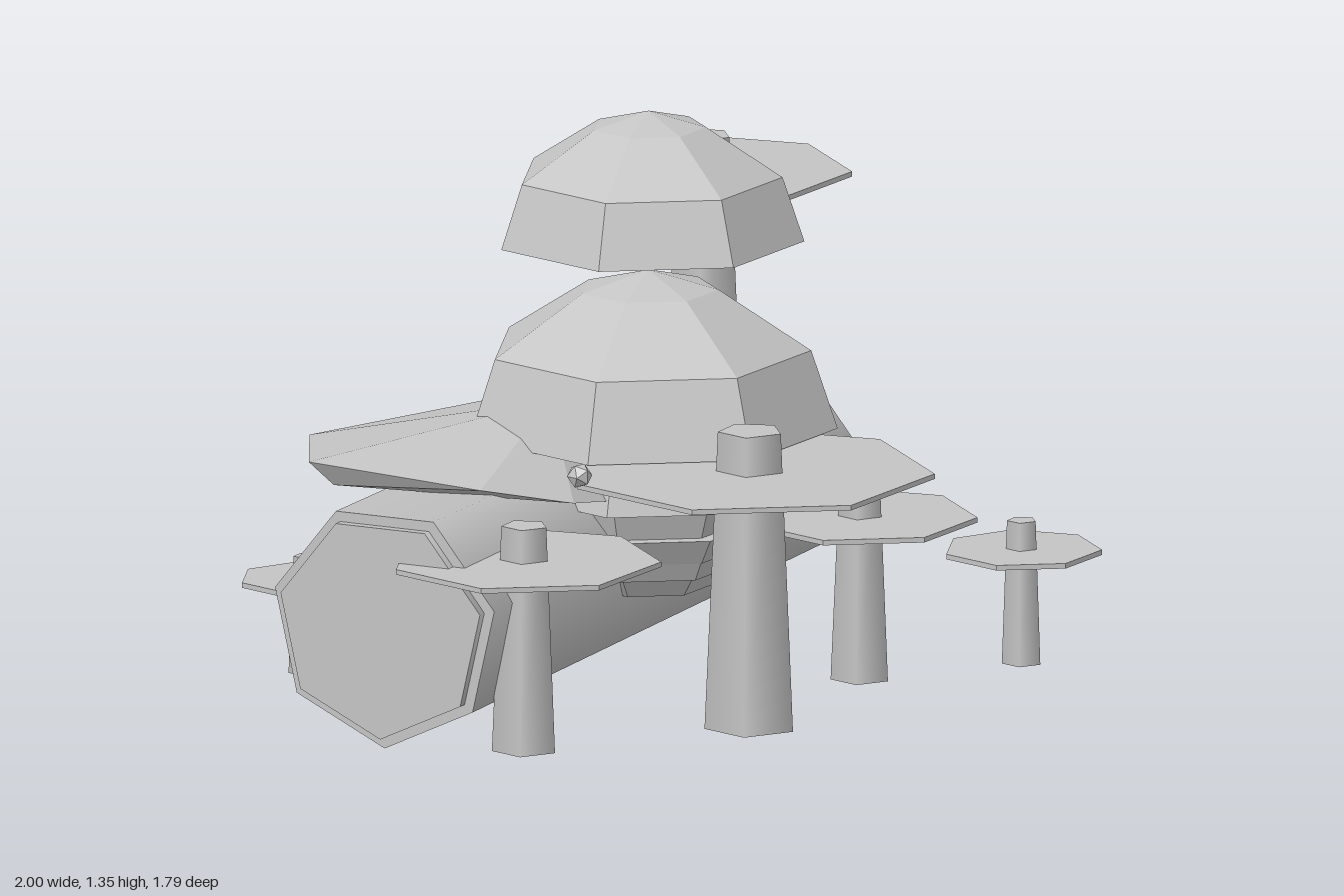
import * as THREE from 'three';
import { ConvexGeometry } from 'three/addons/geometries/ConvexGeometry.js';

export function createModel() {
  const root = new THREE.Group();
  const grey = { color: 0xc4c4c4 };
  const smooth = new THREE.MeshStandardMaterial(grey);
  smooth.name = 'stone grey';
  const faceted = new THREE.MeshStandardMaterial({ ...grey, flatShading: true, side: THREE.DoubleSide });
  faceted.name = 'stone grey faceted';

  function add(name, geometry, material, x = 0, y = 0, z = 0, parent = root) {
    const mesh = new THREE.Mesh(geometry, material);
    mesh.name = name;
    mesh.position.set(x, y, z);
    parent.add(mesh);
    return mesh;
  }
  // Upright prism whose first corner points along +x
  const prism = (top, bottom, height, sides, open = false) =>
    new THREE.CylinderGeometry(top, bottom, height, sides, 1, open, Math.PI / 2);

  // Fallen log with a slightly smaller cut disc on each end
  const log = new THREE.Group();
  log.name = 'log';
  log.position.set(-0.005, 0.292, -0.255);
  log.rotation.y = 0.315;
  root.add(log);
  add('logBark', prism(0.275, 0.288, 1.9, 7).rotateZ(-Math.PI / 2), smooth, 0, 0, 0, log);
  for (const [side, r] of [[1, 0.25], [-1, 0.262]]) {
    add('logEnd', prism(r, r, 0.04, 7).rotateZ(-Math.PI / 2), smooth, side * 0.953, 0, 0, log);
  }

  // Flat mushrooms: x, z, base y, stem top y, bottom radius, top radius, cap y, cap radius
  const mushrooms = [
    [-0.68, 0.267, 0, 0.53, 0.077, 0.055, 0.445, 0.315],
    [-0.155, 0.48, 0, 0.7, 0.108, 0.077, 0.602, 0.425],
    [0.37, 0.32, 0, 0.46, 0.07, 0.05, 0.38, 0.27],
    [0.74, 0.477, 0, 0.337, 0.047, 0.035, 0.265, 0.185],
    [0.585, -0.39, 0.555, 1.13, 0.09, 0.063, 1.045, 0.34],
    [0.11, -0.685, 0, 0.38, 0.058, 0.043, 0.31, 0.218],
    [-0.475, -0.632, 0, 0.275, 0.044, 0.032, 0.218, 0.16],
  ];
  for (const [x, z, y0, y1, rBottom, rTop, capY, capR] of mushrooms) {
    const mushroom = new THREE.Group();
    mushroom.name = 'mushroom';
    mushroom.position.set(x, 0, z);
    root.add(mushroom);
    add('stem', prism(rTop, rBottom, y1 - y0, 5), smooth, 0, (y0 + y1) / 2, 0, mushroom);
    add('cap', prism(capR, capR, 0.012, 7), faceted, 0, capY, 0, mushroom);
  }

  // Stacked open domes: base y, height, base radius
  const domes = [
    ['upperDome', 1.05, 0.3, 0.36],
    ['middleDome', 0.61, 0.365, 0.437],
    ['lowerDome', 0.455, 0.255, 0.3],
  ];
  for (const [name, y, h, r] of domes) {
    const profile = [[1, 0], [0.86, 0.5], [0.37, 0.88], [0, 1]]
      .map(([a, b]) => new THREE.Vector2(a * r, b * h));
    add(name, new THREE.LatheGeometry(profile.reverse(), 7, Math.PI / 2), faceted, 0, y, 0);
  }

  // Tapering tiers below the domes: top y, bottom y, top radius, bottom radius
  const tiers = [
    [0.455, 0.385, 0.25, 0.225],
    [0.385, 0.325, 0.262, 0.225],
    [0.325, 0.28, 0.222, 0.198],
    [0.28, 0.235, 0.185, 0.15],
  ];
  for (const [y1, y0, rTop, rBottom] of tiers) {
    add('tier', prism(rTop, rBottom, y1 - y0, 7), faceted, 0, (y0 + y1) / 2, 0);
  }

  // Flat angular moss slab resting on the log
  const moss = [
    [-0.877, 0.63, -0.235], [-0.59, 0.6, -0.513], [0.04, 0.585, -0.505],
    [0.26, 0.56, -0.36], [-0.64, 0.575, 0.085], [-0.415, 0.52, 0.165],
    [-0.2, 0.68, -0.12], [-0.82, 0.57, -0.21], [0.1, 0.5, -0.4], [-0.2, 0.48, 0.1],
  ].map((p) => new THREE.Vector3(...p));
  add('moss', new ConvexGeometry(moss), faceted);

  // Tiny floating spore
  add('spore', new THREE.IcosahedronGeometry(0.03, 0), faceted, -0.58, 0.643, 0.345);

  return root;
}
